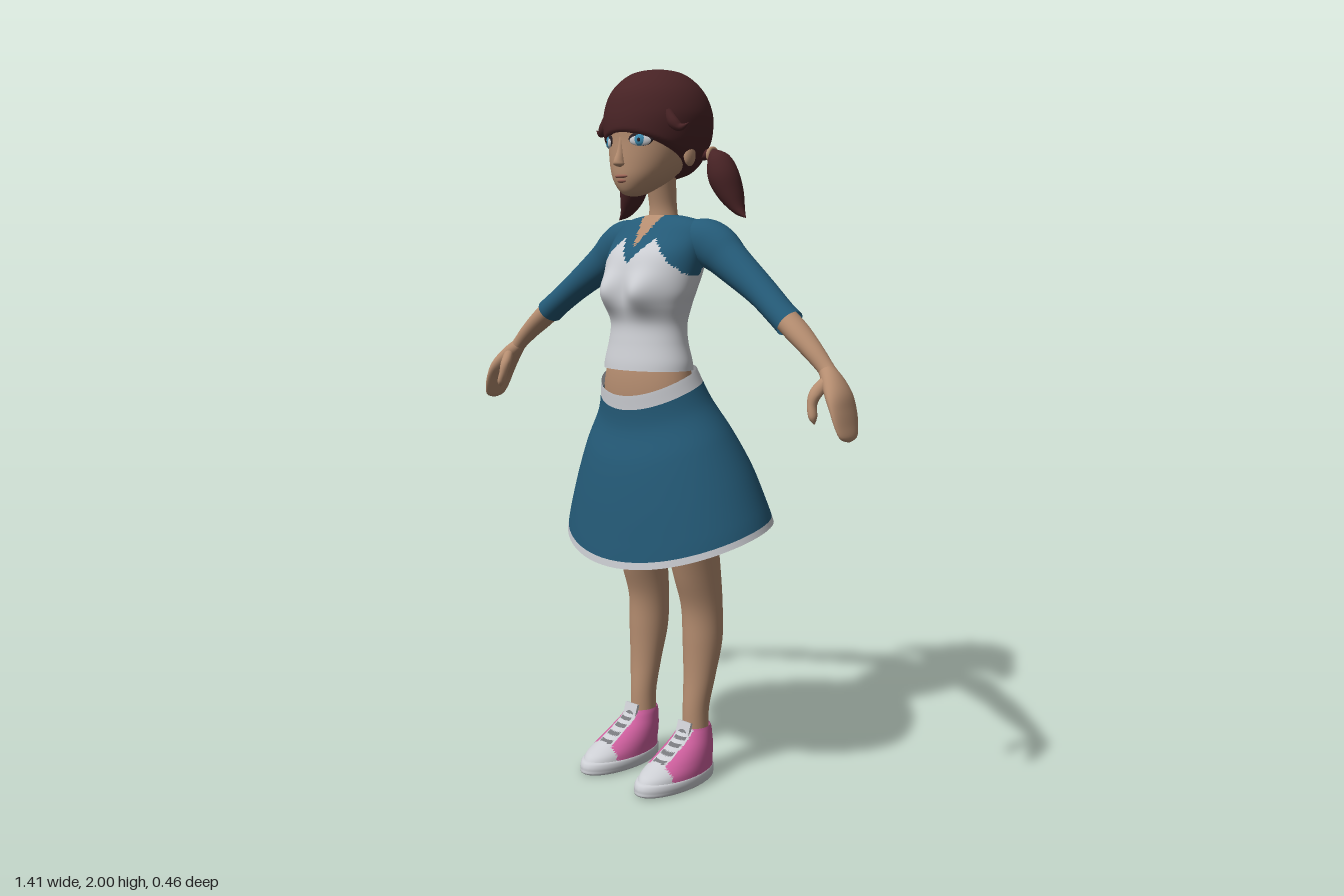
import * as THREE from 'three';

const mat = (name, color) => {
  const m = new THREE.MeshStandardMaterial({ color, side: THREE.DoubleSide });
  m.name = name;
  return m;
};

// Smooth interpolation through a list of equal-length rows
function sample(rows, t) {
  const f = t * (rows.length - 1), i = Math.min(Math.floor(f), rows.length - 2), k = f - i;
  const at = (j) => rows[Math.max(0, Math.min(rows.length - 1, j))];
  const [a, b, c, d] = [at(i - 1), at(i), at(i + 1), at(i + 2)];
  return b.map((_, n) => 0.5 * (2 * b[n] + (c[n] - a[n]) * k
    + (2 * a[n] - 5 * b[n] + 4 * c[n] - d[n]) * k * k + (3 * b[n] - a[n] - 3 * c[n] + d[n]) * k * k * k));
}

// Skin elliptical rings [x, y, z, sideRadius, depthRadius, tilt, sag] into a surface.
// follow: rings stand across the path; warp moves a point; pick chooses a material per face.
function loft(name, rings, mats, { rows = 32, sides = 32, follow = false, warp, pick } = {}) {
  const pos = [], buckets = [].concat(mats).map(() => []);
  const side = new THREE.Vector3(1, 0, 0), zAxis = new THREE.Vector3(0, 0, 1);
  for (let i = 0; i <= rows; i++) {
    const t = i / rows, r = sample(rings, t);
    if (follow) {
      const a = sample(rings, Math.max(0, t - 0.01)), b = sample(rings, Math.min(1, t + 0.01));
      side.set(b[0] - a[0], b[1] - a[1], 0).cross(zAxis).normalize();
    }
    for (let j = 0; j < sides; j++) {
      const q = (j / sides) * Math.PI * 2, c = Math.cos(q);
      const ru = Math.max(r[3], 0.0005) * Math.sin(q), rv = Math.max(r[4], 0.0005) * c;
      const p = new THREE.Vector3(r[0], r[1] - (r[5] || 0) * c - (r[6] || 0) * c * c, r[2] + rv).addScaledVector(side, ru);
      if (warp) warp(p);
      pos.push(p.x, p.y, p.z);
    }
  }
  for (let i = 0; i < rows; i++) for (let j = 0; j < sides; j++) {
    const n = (j + 1) % sides;
    const a = i * sides + j, b = i * sides + n, c = b + sides, d = a + sides;
    for (const tri of [[a, b, c], [a, c, d]]) {
      const mid = [0, 1, 2].map((k) => tri.reduce((s, v) => s + pos[v * 3 + k], 0) / 3);
      buckets[pick ? pick(...mid, (i + 0.5) / rows) : 0].push(...tri);
    }
  }
  const g = new THREE.BufferGeometry();
  g.setAttribute('position', new THREE.Float32BufferAttribute(pos, 3));
  g.setIndex(buckets.flat());
  let start = 0;
  if (Array.isArray(mats)) buckets.forEach((b, i) => { g.addGroup(start, b.length, i); start += b.length; });
  g.computeVertexNormals();
  const m = new THREE.Mesh(g, mats);
  m.name = name;
  return m;
}

// Flattened ball used for facial features
function blob(name, material, [x, y, z], scale, turn = 0) {
  const m = new THREE.Mesh(new THREE.SphereGeometry(1, 24, 16), material);
  m.name = name;
  m.position.set(x, y, z);
  m.scale.set(...scale);
  m.rotation.y = turn;
  return m;
}

export function createModel() {
  const root = new THREE.Group();
  root.name = 'girl';
  const skin = mat('skin', 0xb58d70), hair = mat('hair', 0x482325), blue = mat('blue cloth', 0x245a77);
  const white = mat('white cloth', 0xccced3), pink = mat('pink canvas', 0xd0609f), grey = mat('lace grey', 0x77787c);
  const lip = mat('lips', 0x9a6355), iris = mat('iris blue', 0x3f8fb5), dark = mat('dark lash', 0x2a2024);

  // Shirt with raglan yoke and V neck
  root.add(loft('shirt', [
    [0, 1.185, .08, .146, .1], [0, 1.21, .08, .143, .097], [0, 1.26, .08, .13, .088], [0, 1.31, .078, .125, .085],
    [0, 1.36, .078, .137, .097], [0, 1.4, .073, .15, .102], [0, 1.45, .06, .158, .11], [0, 1.5, .045, .163, .108],
    [0, 1.55, .025, .165, .085], [0, 1.58, .02, .15, .065], [0, 1.597, .02, .11, .05], [0, 1.607, .02, .05, .042],
  ], [white, blue, skin], {
    rows: 88, sides: 96,
    warp: (p) => {
      if (p.z < .05) return;
      const dx = (Math.abs(p.x) - .065) / .045, dy = (p.y - 1.4) / .05;
      p.z += .033 * Math.exp(-dx * dx - dy * dy);
    },
    pick: (x, y, z) => {
      const w = Math.abs(x);
      if (z > .03 && y > 1.515 + w * 2.4) return 2;
      const front = w < .06 ? 1.475 + w * 1.17 : 1.545 - (w - .06) * 1.05;
      const back = 1.61 - Math.max(0, w - .05) * 1.45;
      return y < (z > .03 ? front : back) ? 0 : 1;
    },
  }));

  // Waist, hips and neck
  root.add(loft('midriff', [[0, 1.06, .07, .15, .1], [0, 1.12, .08, .15, .095], [0, 1.18, .08, .14, .092], [0, 1.24, .08, .12, .08]], skin));
  root.add(loft('briefs', [[0, .86, .035, .002, .002], [0, .88, .035, .07, .07], [0, .93, .04, .14, .1],
    [0, 1.0, .05, .165, .115], [0, 1.09, .068, .15, .1]], white));
  root.add(loft('neck', [[0, 1.54, .02, .045, .04], [0, 1.59, .02, .044, .04], [0, 1.64, .022, .037, .04], [0, 1.73, .035, .04, .05]], skin));

  // Flared skirt with pale hem and waistband, dipping at the front
  root.add(loft('skirt', [
    [0, .745, .003, .347, .232, .058, .045], [0, .8, .01, .33, .22, .054, .04], [0, .9, .022, .29, .198, .05, .035],
    [0, 1.0, .04, .24, .165, .046, .03], [0, 1.09, .057, .187, .125, .042, .024], [0, 1.175, .08, .158, .104, .04, .02],
  ], [blue, white], { rows: 60, sides: 72, pick: (x, y, z, t) => (t < .08 || t > .9 ? 1 : 0) }));

  // Head, slightly flatter at the eye sockets
  root.add(loft('head', [
    [0, 1.655, .135, .002, .002], [0, 1.66, .132, .026, .028], [0, 1.675, .122, .05, .052], [0, 1.705, .1, .08, .084],
    [0, 1.745, .078, .103, .108], [0, 1.8, .06, .119, .125], [0, 1.86, .055, .123, .13], [0, 1.92, .045, .108, .115],
    [0, 1.96, .04, .07, .08], [0, 1.975, .04, .002, .002],
  ], skin, { rows: 48, sides: 48 }));
  root.add(loft('nose', [[0, 1.732, .186, .002, .002], [0, 1.738, .188, .016, .015], [0, 1.75, .186, .014, .018],
    [0, 1.78, .18, .009, .012], [0, 1.82, .176, .006, .008]], skin, { rows: 16, sides: 16 }));
  root.add(blob('upper lip', lip, [0, 1.708, .179], [.025, .006, .01]));
  root.add(blob('lower lip', lip, [0, 1.696, .174], [.02, .007, .011]));

  // Hair cap; points over the face sink inside the head to leave a swept hairline
  root.add(loft('hair cap', [
    [0, 1.705, .01, .03, .04], [0, 1.72, .01, .075, .06], [0, 1.745, .025, .11, .1], [0, 1.78, .04, .135, .135],
    [0, 1.82, .04, .148, .15], [0, 1.88, .04, .151, .148], [0, 1.94, .042, .125, .126], [0, 1.985, .04, .07, .075], [0, 2.0, .035, .002, .002],
  ], hair, {
    rows: 72, sides: 96,
    warp: (p) => {
      const brow = p.y - (1.935 - 9 * (p.x - .015) ** 2), temple = ((p.y - 1.73) * 2 - p.z) * .45;
      const k = .6 + .4 * THREE.MathUtils.smoothstep(Math.max(brow, temple), -.035, .005);
      p.x *= k;
      p.z = .045 + (p.z - .045) * k;
    },
  }));

  for (const s of [1, -1]) {
    const label = s > 0 ? 'left ' : 'right ';
    const flip = (rows) => rows.map((r) => [r[0] * s, ...r.slice(1)]);
    const limb = (name, rows, m, o = {}) => root.add(loft(label + name, flip(rows), m, { follow: true, ...o }));

    // Eye layers
    const turn = .56 * s;
    root.add(blob(label + 'lash', dark, [.061 * s, 1.804, .166], [.034, .019, .006], turn));
    root.add(blob(label + 'eye', white, [.061 * s, 1.8, .168], [.03, .015, .0068], turn));
    root.add(blob(label + 'iris', iris, [.06 * s, 1.801, .1695], [.018, .0155, .0075], turn));
    root.add(blob(label + 'pupil', dark, [.06 * s, 1.801, .172], [.007, .008, .0065], turn));
    root.add(blob(label + 'ear', skin, [.124 * s, 1.765, .045], [.012, .03, .02]));

    // Pigtail, its tie and the loose strand at the temple
    limb('pigtail', [[.11, 1.768, -.025, .014, .014], [.135, 1.768, -.032, .017, .018], [.158, 1.745, -.036, .036, .036],
      [.175, 1.705, -.038, .043, .042], [.195, 1.66, -.045, .034, .036], [.22, 1.62, -.048, .016, .02], [.247, 1.598, -.045, .001, .001]], hair);
    const tie = new THREE.Mesh(new THREE.TorusGeometry(.018, .006, 8, 20), skin);
    tie.name = label + 'hair tie';
    tie.position.set(.137 * s, 1.767, -.032);
    tie.rotation.y = Math.PI / 2;
    root.add(tie);
    limb('loose strand', [[.115, 1.875, .12, .012, .012], [.135, 1.845, .118, .016, .014], [.155, 1.832, .112, .01, .01], [.178, 1.842, .106, .001, .001]],
      hair, { rows: 16, sides: 12 });

    // Sleeve, forearm and hand
    limb('sleeve', [[.08, 1.545, .015, .045, .045], [.15, 1.535, .01, .062, .056], [.2, 1.512, .008, .063, .055], [.25, 1.477, .01, .054, .049],
      [.36, 1.405, .02, .041, .044], [.435, 1.352, .032, .037, .042], [.47, 1.327, .036, .038, .043]], blue);
    limb('forearm', [[.43, 1.355, .032, .031, .035], [.5, 1.305, .04, .03, .036], [.56, 1.258, .048, .025, .028],
      [.605, 1.217, .053, .021, .022], [.63, 1.19, .058, .022, .03]], skin);
    limb('hand', [[.6, 1.22, .053, .02, .02], [.63, 1.19, .062, .024, .036], [.657, 1.155, .07, .023, .048], [.674, 1.12, .074, .016, .05],
      [.686, 1.085, .077, .012, .045], [.695, 1.058, .079, .009, .032], [.698, 1.048, .08, .002, .004]], skin);
    limb('thumb', [[.625, 1.195, .075, .016, .018], [.61, 1.165, .1, .017, .018], [.607, 1.135, .113, .012, .014],
      [.614, 1.105, .118, .01, .012], [.619, 1.088, .118, .001, .001]], skin, { sides: 16 });

    // Leg
    limb('leg', [[.085, 1.02, .05, .07, .09], [.093, .9, .042, .076, .098], [.104, .73, .018, .064, .088], [.107, .6, -.008, .059, .077],
      [.108, .5, -.027, .057, .063], [.11, .4, -.028, .057, .058], [.11, .3, -.016, .048, .045], [.108, .2, -.003, .038, .038],
      [.108, .11, -.003, .038, .038]].reverse(), skin, { follow: false, rows: 48 });

    // Sneaker: sole, canvas upper with toe cap and laces, tongue
    limb('sole', [[.113, .002, .09, .001, .001], [.113, .002, .09, .06, .13], [.113, .018, .09, .071, .145], [.113, .036, .088, .07, .142], [.113, .042, .085, .062, .13]],
      white, { follow: false, rows: 20 });
    limb('shoe upper', [[.113, .03, .087, .069, .139], [.113, .052, .08, .067, .131], [.112, .075, .058, .063, .111], [.111, .1, .034, .057, .088],
      [.11, .125, .014, .05, .066], [.109, .145, .004, .045, .054], [.109, .155, .002, .042, .048]], [pink, white, grey], {
      follow: false, rows: 60, sides: 64,
      pick: (x, y, z) => {
        if (z > .155) return 1;
        const w = Math.abs(Math.abs(x) - .111);
        if (z < .04 || w > .027) return 0;
        return w > .021 || Math.floor(y / .008) % 2 ? 1 : 2;
      },
    });
    const tongue = new THREE.Mesh(new THREE.BoxGeometry(.05, .035, .008), white);
    tongue.name = label + 'shoe tongue';
    tongue.position.set(.109 * s, .155, .047);
    tongue.rotation.x = -.3;
    root.add(tongue);
  }
  return root;
}
